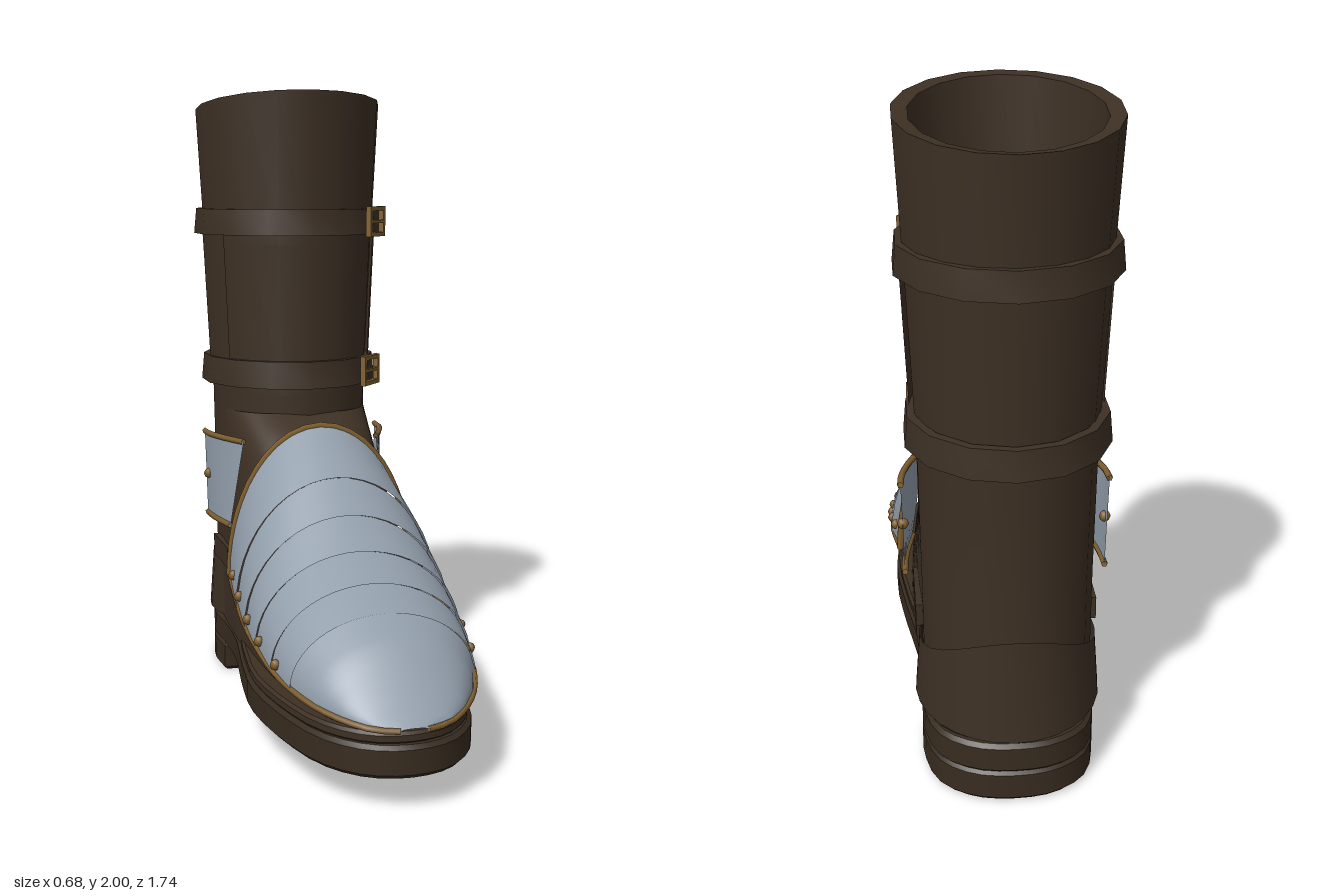
import * as THREE from 'three';
import { mergeVertices, toCreasedNormals } from 'three/addons/utils/BufferGeometryUtils.js';

const { sin, cos, PI, sqrt, max, sign, abs, pow } = Math;
const mat = (name, color) => {
  const m = new THREE.MeshStandardMaterial({ color, side: THREE.DoubleSide });
  m.name = name;
  return m;
};

// Surface f(u, v) -> [x, y, z] sampled on a grid, u and v in 0..1
function grid(nu, nv, f, crease = 0.7) {
  const pos = [], idx = [];
  for (let j = 0; j <= nv; j++)
    for (let i = 0; i <= nu; i++) pos.push(...f(i / nu, j / nv));
  for (let j = 0; j < nv; j++)
    for (let i = 0; i < nu; i++) {
      const a = j * (nu + 1) + i, b = a + nu + 1;
      idx.push(a, a + 1, b, a + 1, b + 1, b);
    }
  const g = new THREE.BufferGeometry();
  g.setAttribute('position', new THREE.Float32BufferAttribute(pos, 3));
  g.setIndex(idx);
  return toCreasedNormals(mergeVertices(g), crease);
}

// Linear lookup in rows sorted by their first entry
function lookup(rows, k) {
  let i = 0;
  while (i < rows.length - 2 && k > rows[i + 1][0]) i++;
  const t = THREE.MathUtils.clamp((k - rows[i][0]) / (rows[i + 1][0] - rows[i][0]), 0, 1);
  return rows[i].map((v, n) => v + (rows[i + 1][n] - v) * t);
}

// Shaft rings: height, half width, half depth, centre z
const SHAFT = [
  [0.2, 0.25, 0.28, -0.53], [0.6, 0.255, 0.275, -0.515], [1.0, 0.262, 0.283, -0.518],
  [1.5, 0.287, 0.298, -0.523], [1.955, 0.313, 0.32, -0.525]];
const shaftPoint = (a, y, off = 0) => {
  const [, rx, rz, cz] = lookup(SHAFT, y);
  return [(rx + off) * sin(a), y, cz + (rz + off) * cos(a)];
};

// Toe armour arches: z, half width, lower edge, crest
const TOE = [
  [-0.1, 0.305, 0.44, 0.92], [0.1, 0.322, 0.395, 0.785], [0.22, 0.323, 0.36, 0.69],
  [0.34, 0.318, 0.335, 0.605], [0.47, 0.303, 0.305, 0.54], [0.59, 0.278, 0.285, 0.485],
  [0.7, 0.235, 0.265, 0.425], [0.79, 0.175, 0.25, 0.33], [0.85, 0.11, 0.24, 0.265], [0.87, 0.04, 0.235, 0.24]];
const toePoint = (t, z, flare = 1) => {
  const [, w, lo, hi] = lookup(TOE, z);
  return [w * flare * sin(t * PI / 2), lo + (hi - lo) * cos(t * PI / 2) * flare, z];
};

// Foot levels: height, foremost z
const FOOT = [[0.2, 0.84], [0.25, 0.8], [0.32, 0.7], [0.4, 0.62], [0.5, 0.45], [0.6, 0.27],
  [0.7, 0.13], [0.8, -0.01], [0.88, -0.13], [0.94, -0.25]];

// Half outline of the sole: x, z
const SOLE = [[0, 0.868], [0.12, 0.835], [0.22, 0.72], [0.285, 0.5], [0.313, 0.25], [0.29, 0], [0.255, -0.25],
  [0.25, -0.45], [0.255, -0.6], [0.215, -0.75], [0.12, -0.825], [0, -0.845]];

export function createModel() {
  const root = new THREE.Group();
  root.name = 'armouredBoot';
  const leather = mat('dark leather', 0x3d3024);
  const soleMat = mat('sole leather', 0x382c20);
  const steel = mat('steel', 0x929eab);
  const brass = mat('brass', 0x80602f);

  const add = (name, geo, material, parent = root) => {
    const m = new THREE.Mesh(geo, material);
    m.name = name;
    parent.add(m);
    return m;
  };
  const tube = (name, pts, r = 0.01) => add(name, new THREE.TubeGeometry(
    new THREE.CatmullRomCurve3(pts.map(p => new THREE.Vector3(...p))), 24, r, 5), brass);

  // Sole, heel block and welt share one outline
  const outline = new THREE.CatmullRomCurve3(
    [...SOLE, ...SOLE.slice(1, -1).reverse().map(([x, z]) => [-x, z])]
      .map(([x, z]) => new THREE.Vector3(x, -z, 0)), true).getPoints(56).slice(0, -1);
  const slab = (name, pts, y0, y1, scale, material) => {
    const b = Math.min(0.012, (y1 - y0) / 4);
    const g = new THREE.ExtrudeGeometry(
      new THREE.Shape(pts.map(p => new THREE.Vector2(p.x * scale, p.y * scale))),
      { depth: y1 - y0 - 2 * b, bevelThickness: b, bevelSize: b, bevelOffset: -b, bevelSegments: 1 });
    g.rotateX(-PI / 2).translate(0, y0 + b, 0);
    return add(name, toCreasedNormals(g, 0.6), material);
  };
  slab('sole', outline, 0.095, 0.19, 1, soleMat);
  slab('heelBlock', outline.filter(p => p.y > 0.43), 0, 0.1, 1, soleMat);
  slab('welt', outline, 0.186, 0.222, 0.975, leather);

  // Foot upper, open at the back where it meets the shaft
  add('footUpper', grid(32, 18, (u, v) => {
    const a = (u - 0.5) * PI, y = 0.2 + 0.74 * v, zf = lookup(FOOT, y)[1], c = cos(a);
    const w = 0.25 + 0.08 * c * (1 - v);
    return [w * sign(sin(a)) * pow(abs(sin(a)), 0.65), y, -0.5 + (zf + 0.5) * c];
  }), leather);

  // Shaft: outside up to the slanted rim, then down the lining
  const wall = [[0.2, 0], [0.6, 0], [1.0, 0], [1.5, 0], [1.955, 0], [1.95, -0.045], [1.5, -0.045], [1.0, -0.045], [0.24, -0.045]];
  add('shaft', grid(18, wall.length - 1, (u, v) => {
    const [y, off] = wall[Math.round(v * (wall.length - 1))], a = PI + u * 2 * PI;
    const p = shaftPoint(a, y, off);
    if (y > 1.9) p[1] += 0.044 * cos(a);
    return p;
  }), leather);
  const insole = add('insole', new THREE.CircleGeometry(1, 18).rotateX(-PI / 2), leather);
  insole.scale.set(0.22, 1, 0.25);
  insole.position.set(0, 0.25, -0.53);

  // Heel counter rising to a point at the back
  add('heelCounter', grid(20, 2, (u, v) => {
    const a = (55 + 250 * u) * PI / 180, top = 0.4 + 0.13 * max(0, -cos(a)) ** 2;
    const r = 1 - 0.05 * v;
    return [0.275 * r * sin(a), 0.21 + (top - 0.21) * v, -0.55 + 0.31 * r * cos(a)];
  }), leather);

  // Straps with their buckles
  const frame = new THREE.Shape([[-0.06, -0.05], [0.06, -0.05], [0.06, 0.05], [-0.06, 0.05]].map(p => new THREE.Vector2(...p)));
  frame.holes.push(new THREE.Path([[-0.045, -0.036], [-0.045, 0.036], [0.045, 0.036], [0.045, -0.036]].map(p => new THREE.Vector2(...p))));
  const frameGeo = new THREE.ExtrudeGeometry(frame, { depth: 0.018, bevelEnabled: false });
  [['upper', 1.53, 1.615, 0.322, 0.33], ['lower', 1.025, 1.115, 0.3, 0.323]].forEach(([name, y0, y1, rx, rz]) => {
    const section = [[0.035, y0], [0, y0], [0.008, y1], [0.035, y1]];
    add(name + 'Strap', grid(14, 3, (u, v) => {
      const [inset, y] = section[Math.round(v * 3)], a = PI + u * 2 * PI;
      return [(rx - inset) * sin(a), y, -0.527 + (rz - inset) * cos(a)];
    }), leather);
    const a = 0.86, buckle = new THREE.Group();
    buckle.name = name + 'Buckle';
    add('buckleFrame', frameGeo, brass, buckle);
    add('bucklePin', new THREE.BoxGeometry(0.1, 0.01, 0.012), brass, buckle).position.z = 0.012;
    buckle.position.set(rx * sin(a), (y0 + y1) / 2, -0.527 + rz * cos(a));
    buckle.rotation.y = a;
    root.add(buckle);
  });

  // Overlapping toe plates, each flared over the next
  const edges = [-0.1, 0.1, 0.22, 0.34, 0.47, 0.59, 0.87];
  edges.slice(0, -1).forEach((z0, i) => {
    const z1 = edges[i + 1], last = i === 5;
    add('toePlate' + (i + 1), grid(24, last ? 10 : 3, (u, v) =>
      toePoint(u * 2 - 1, z0 + (z1 - z0 + (last ? 0 : 0.008)) * v, last ? 1 : 1 + 0.022 * v)), steel);
  });
  const arch = [...Array(13)].map((_, i) => toePoint(i / 6 - 1, -0.103));
  tube('toeArmourBackTrim', arch, 0.012);

  for (const s of [-1, 1]) {
    const side = s > 0 ? 'left' : 'right';
    tube(side + 'ToeTrim', TOE.map(r => toePoint(s, r[0])), 0.009);

    // Rivets along the toe plates
    for (const z of [0.01, 0.13, 0.25, 0.37, 0.5]) {
      const rivet = add(side + 'Rivet', new THREE.SphereGeometry(0.017, 6, 4), brass);
      rivet.position.set(...toePoint(s * 0.92, z, 1.015));
    }

    // Ankle plate with top and bottom trim and one rivet
    const ankle = (u, v) => {
      const front = 0.268 - 0.04 * v, back = 0.298 + 0.008 * v;
      return [s * (front + (back - front) * sin(u * PI / 2)), 0.57 + 0.285 * v, -0.225 - 0.01 * (1 - v) * 3 * (1 - u) - 0.265 * u];
    };
    add(side + 'AnklePlate', grid(8, 3, ankle), steel);
    for (const v of [0, 1])
      tube(side + 'AnkleTrim', [0, 0.25, 0.5, 0.75, 1].map(u => ankle(u, v)));
    add(side + 'AnkleRivet', new THREE.SphereGeometry(0.018, 6, 4), brass).position.set(...ankle(0.85, 0.5));

    // Small ankle strap and a raised panel on the shaft
    add(side + 'AnkleStrap', new THREE.BoxGeometry(0.03, 0.07, 0.23), leather).position.set(s * 0.255, 0.445, -0.415);
    add(side + 'ShaftPanel', grid(4, 4, (u, v) =>
      shaftPoint(s * (1.05 + 0.55 * u), 1.1 + 0.46 * v, 0.009)), leather);
  }
  return root;
}
